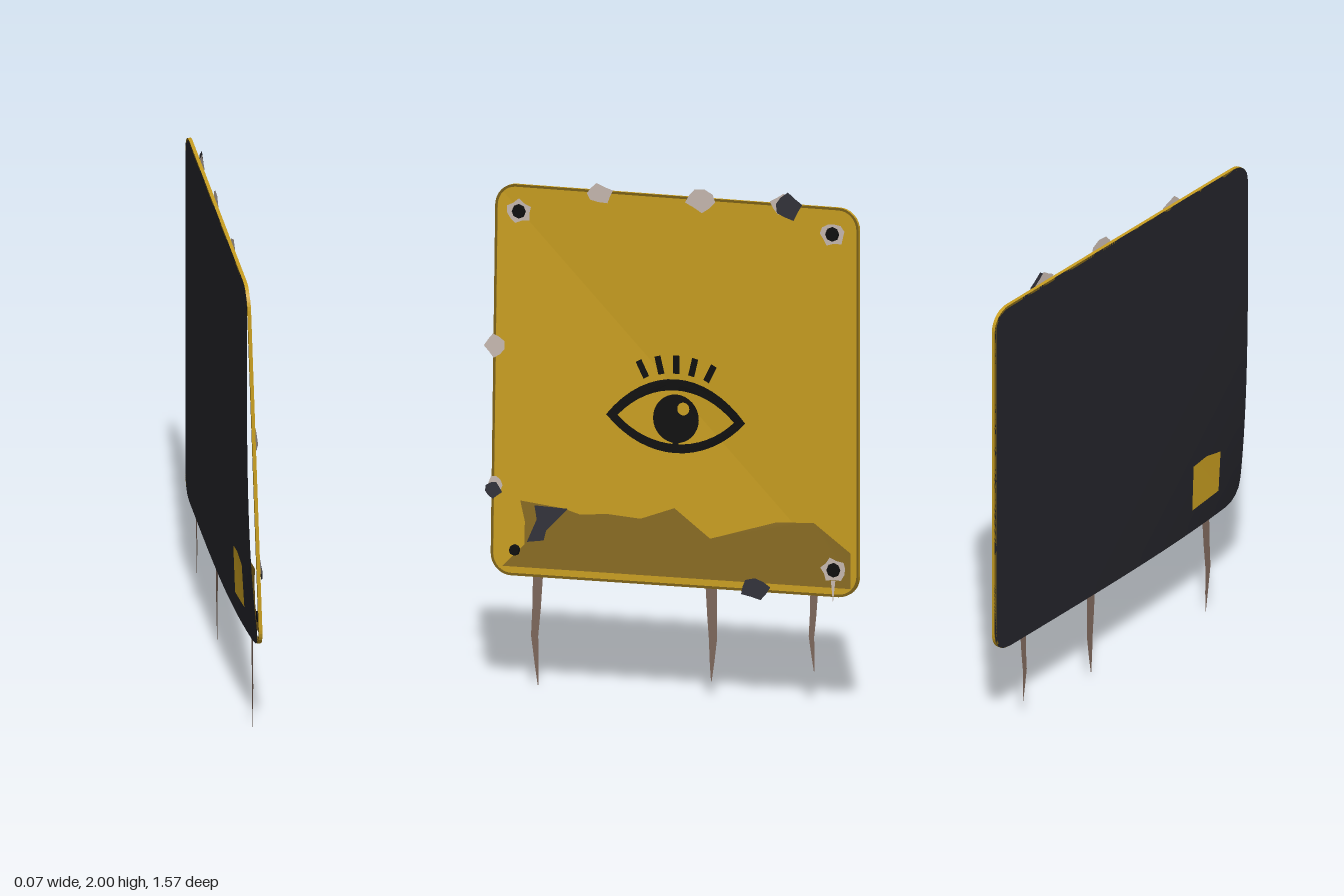
import * as THREE from 'three';

const mat = (name, color, side = THREE.FrontSide) => {
  const m = new THREE.MeshStandardMaterial({ color, side });
  m.name = name;
  return m;
};
const yellow = mat('yellow paint', 0xcba021);
const olive = mat('dark yellow edge', 0x7d6217);
const grime = mat('brown grime', 0x8b6d23, THREE.DoubleSide);
const black = mat('black paint', 0x0f0f0f);
const charcoal = mat('charcoal metal', 0x33333b, THREE.DoubleSide);
const backing = mat('dark backing', 0x24242a);
const pale = mat('pale bare metal', 0xc9bbb2, THREE.DoubleSide);
const rust = mat('rusty brown', 0x806a5e, THREE.DoubleSide);

// Shapes are drawn in (u, y) with u = -z, then turned to face +x
const CU = 0.015, CY = 1.19, HALF = 0.765, RADIUS = 0.085;
const FACE_X = -0.02, BACK_X = -0.032;

// 0 along the diagonal fold, 1 at the bent lower corner
const fold = (u, y) => Math.max(0, (0.78 - u) / 1.53 + (1.955 - y) / 1.53 - 1);
const frontLift = (u, y) => 0.05 * fold(u, y);
const backLift = (u, y) => 0.05 * fold(u, y) ** 4;

function bend(geo, x, lift = frontLift) {
  const p = geo.attributes.position;
  for (let i = 0; i < p.count; i++) {
    p.setZ(i, p.getZ(i) + x + lift(p.getX(i), p.getY(i)));
  }
  geo.rotateY(Math.PI / 2);
  geo.computeVertexNormals();
  return geo;
}

function roundedOutline(half, radius, seg = 8) {
  const pts = [];
  [[1, 1], [-1, 1], [-1, -1], [1, -1]].forEach(([sx, sy], q) => {
    for (let i = 0; i <= seg; i++) {
      const a = (q + i / seg) * Math.PI / 2;
      pts.push(new THREE.Vector2(
        CU + sx * (half - radius) + radius * Math.cos(a),
        CY + sy * (half - radius) + radius * Math.sin(a)));
    }
  });
  return pts;
}

const polygon = (pts) => new THREE.Shape(pts.map(([u, y]) => new THREE.Vector2(u, y)));

// Irregular flake with a repeatable jagged edge
function flake(u, y, ru, ry, seed, n = 9) {
  const pts = [];
  for (let i = 0; i < n; i++) {
    const a = (i / n) * Math.PI * 2 + seed;
    const r = 0.88 + 0.14 * Math.sin(i * 2.7 + seed * 5);
    pts.push([u + ru * r * Math.cos(a), y + ry * r * Math.sin(a)]);
  }
  return polygon(pts);
}

function lens(halfW, top, bottom, Path) {
  const p = new Path(), u = 0.012, y = 1.08;
  p.moveTo(u - halfW, y);
  p.bezierCurveTo(u - halfW * 0.42, y - bottom * 1.33, u + halfW * 0.42, y - bottom * 1.33, u + halfW, y);
  p.bezierCurveTo(u + halfW * 0.42, y + top * 1.33, u - halfW * 0.42, y + top * 1.33, u - halfW, y);
  return p;
}

export function createModel() {
  const model = new THREE.Group();
  const add = (name, geo, material) => {
    const m = new THREE.Mesh(geo, material);
    m.name = name;
    model.add(m);
    return m;
  };
  const decal = (name, shape, material, raise, lift = frontLift, base = FACE_X) =>
    add(name, bend(new THREE.ShapeGeometry(shape, 16), base + raise, lift), material);

  // Painted face, creased along the diagonal
  const outline = roundedOutline(HALF - 0.004, RADIUS);
  const side = (p) => (CU - p.x) + (CY - p.y);
  [1, -1].forEach((s) => {
    const half = outline.filter((p) => side(p) * s >= -1e-6);
    if (s > 0) {
      decal('bentFaceHalf', new THREE.Shape(half), yellow, 0);
    } else {
      decal('flatFaceHalf', new THREE.Shape(half), yellow, 0);
    }
  });

  // Rim
  const rim = new THREE.Shape(roundedOutline(HALF, RADIUS));
  rim.holes.push(new THREE.Path(roundedOutline(HALF - 0.01, RADIUS - 0.01).reverse()));
  add('rim', bend(new THREE.ExtrudeGeometry(rim, { depth: 0.014, bevelEnabled: false }), BACK_X),
    [olive, yellow]);

  // Curved backing sheet, square grid pulled into the rounded corners
  const sheet = new THREE.PlaneGeometry(HALF * 2, HALF * 2, 32, 32);
  const sp = sheet.attributes.position;
  const inner = HALF - RADIUS;
  for (let i = 0; i < sp.count; i++) {
    let u = sp.getX(i), y = sp.getY(i);
    const du = Math.abs(u) - inner, dy = Math.abs(y) - inner;
    if (du > 0 && dy > 0) {
      const k = Math.max(du, dy) / Math.hypot(du, dy);
      u = Math.sign(u) * (inner + du * k);
      y = Math.sign(y) * (inner + dy * k);
    }
    sp.setXY(i, u + CU, y + CY);
  }
  const idx = sheet.index.array;
  for (let i = 0; i < idx.length; i += 3) [idx[i], idx[i + 1]] = [idx[i + 1], idx[i]];
  add('backing', bend(sheet, BACK_X, backLift), backing);
  const patch = decal('backPatch', polygon([[-0.59, 0.54], [-0.42, 0.53], [-0.42, 0.73], [-0.5, 0.74], [-0.59, 0.72]]),
    yellow, -0.007, backLift, BACK_X);
  const pi = patch.geometry.index.array;
  for (let i = 0; i < pi.length; i += 3) [pi[i], pi[i + 1]] = [pi[i + 1], pi[i]];
  patch.geometry.computeVertexNormals();

  // Grime along the bottom and the worn streak
  decal('grime', polygon([[-0.70, 0.46], [0.745, 0.46], [0.745, 0.6], [0.59, 0.71], [0.43, 0.7], [0.16, 0.62],
    [0.01, 0.73], [-0.13, 0.68], [-0.27, 0.69], [-0.38, 0.68], [-0.45, 0.7], [-0.63, 0.72], [-0.61, 0.64], [-0.61, 0.55]]),
  grime, 0.002);
  decal('wornStreak', polygon([[-0.6, 0.56], [-0.53, 0.57], [-0.52, 0.61], [-0.43, 0.7], [-0.57, 0.705], [-0.56, 0.65]]),
    charcoal, 0.004);

  // Eye emblem
  const lid = lens(0.29, 0.155, 0.135, THREE.Shape);
  lid.holes.push(lens(0.243, 0.111, 0.1, THREE.Path));
  decal('eyeOutline', lid, black, 0.003);
  const iris = new THREE.Shape().absarc(0.012, 1.08, 0.095, 0, Math.PI * 2);
  iris.holes.push(new THREE.Path().absarc(0.042, 1.12, 0.025, 0, Math.PI * 2, true));
  decal('iris', iris, black, 0.003);
  decal('irisStem', polygon([[0, 0.95], [0.024, 0.95], [0.024, 1], [0, 1]]), black, 0.0035);
  for (let i = -2; i <= 2; i++) {
    const u = 0.012 + i * 0.071, y = 1.292 - 0.0065 * i * i, a = i * 0.24;
    const dx = Math.sin(a), dy = Math.cos(a);
    const pt = (w, h) => [u + w * dy + h * dx, y - w * dx + h * dy];
    decal('eyelash', polygon([pt(-0.013, -0.036), pt(0.013, -0.036), pt(0.013, 0.036), pt(-0.013, 0.036)]),
      black, 0.003);
  }

  // Corner bolts on chipped paint
  [[-0.65, 1.85, 1], [0.67, 1.85, 2], [-0.65, 0.525, 0], [0.675, 0.53, 3]].forEach(([u, y, seed]) => {
    if (seed) decal('boltChip', flake(u, y, 0.058, 0.05, seed, 11), pale, 0.004);
    const bolt = new THREE.CylinderGeometry(seed ? 0.026 : 0.02, seed ? 0.03 : 0.023, 0.016, 8);
    bolt.rotateZ(-Math.PI / 2);
    bolt.translate(FACE_X + frontLift(u, y) + 0.007, y, -u);
    add('bolt', bolt, black);
  });
  decal('boltDrip', polygon([[0.664, 0.49], [0.674, 0.4], [0.683, 0.49]]), pale, 0.004);

  // Chipped flakes around the edges
  [
    [-0.31, 1.942, 0.06, 0.042, 0.4, pale], [0.115, 1.945, 0.068, 0.05, 1.3, pale],
    [0.46, 1.95, 0.055, 0.045, 2.2, pale], [0.485, 1.945, 0.06, 0.057, 0.9, charcoal],
    [-0.742, 1.32, 0.046, 0.05, 1.8, pale], [-0.735, 0.775, 0.036, 0.04, 0.7, pale],
    [-0.742, 0.755, 0.038, 0.035, 2.6, charcoal], [0.35, 0.437, 0.066, 0.046, 0.2, charcoal],
  ].forEach(([u, y, ru, ry, seed, m]) =>
    decal('edgeFlake', flake(u, y, ru, ry, seed), m, m === pale ? 0.004 : 0.006));

  // Rust drips hanging from the lower edge
  [[-0.555, 0.0, 0.021, -0.01], [0.165, 0.06, 0.024, 0.005], [0.592, 0.125, 0.016, -0.008]].forEach(([u, end, w, sway]) => {
    const h = 0.43 - end;
    const left = [], right = [];
    [[0, 1, 0], [0.3, 0.85, 0.6], [0.55, 0.72, 1.4], [0.8, 0.4, 0.6], [1, 0.06, 0]].forEach(([t, k, c]) => {
      left.push([u + sway * c - w * k, 0.43 - h * t]);
      right.unshift([u + sway * c + w * k, 0.43 - h * t]);
    });
    const geo = new THREE.ShapeGeometry(polygon([...left, ...right]));
    add('rustDrip', bend(geo, FACE_X - 0.004 + frontLift(u, 0.43), () => 0), rust);
  });

  return model;
}
